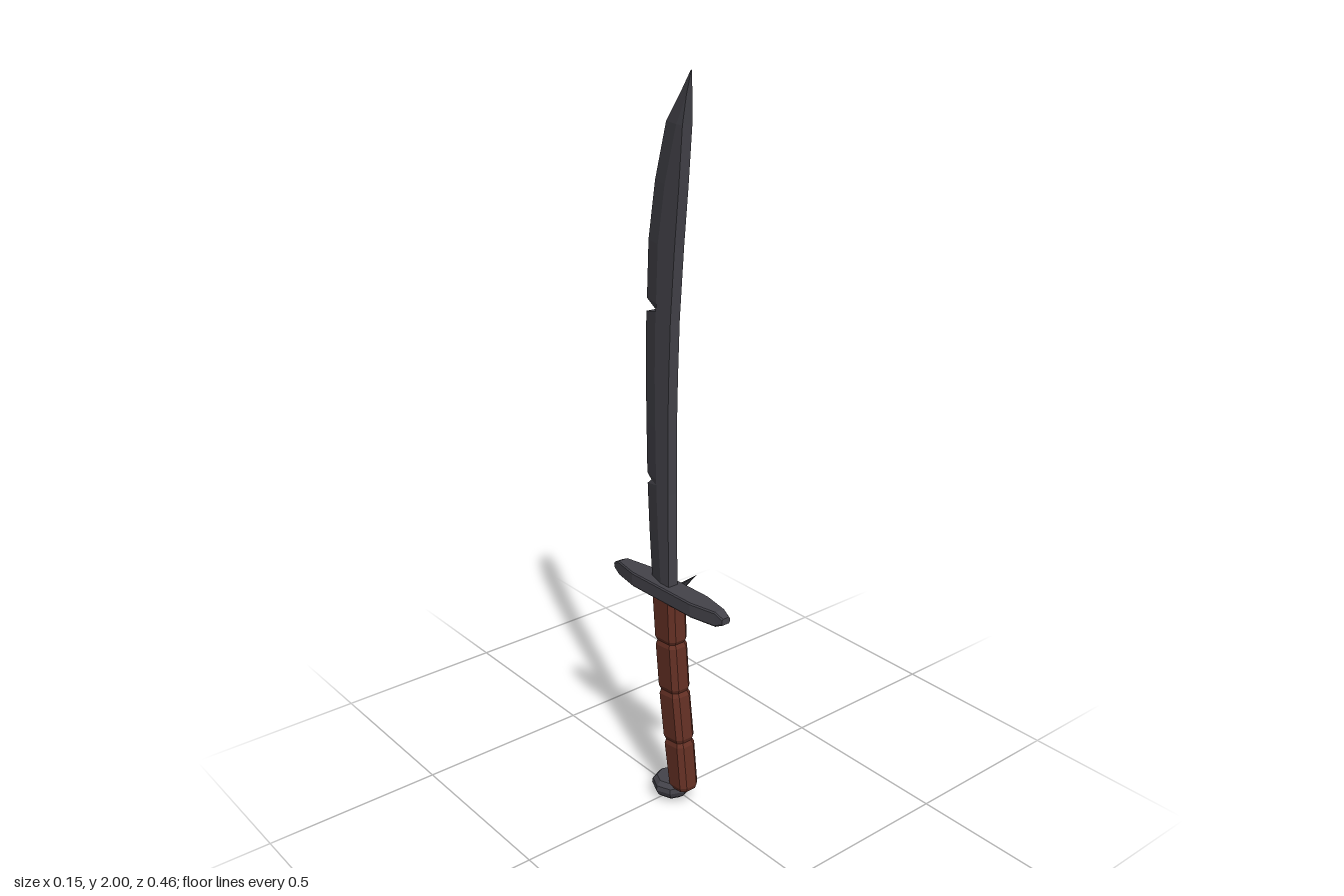
import * as THREE from 'three';

const CX = -0.02; // sword plane

// Skin between rings of equal length (counterclockwise seen from the end), with flat faces and caps.
function loft(rings) {
  const pos = [];
  const tri = (a, b, c) => pos.push(...a, ...b, ...c);
  const n = rings[0].length;
  for (let r = 0; r < rings.length - 1; r++) {
    const a = rings[r], b = rings[r + 1];
    for (let i = 0; i < n; i++) {
      const j = (i + 1) % n;
      tri(a[i], a[j], b[j]);
      tri(a[i], b[j], b[i]);
    }
  }
  const first = rings[0], last = rings[rings.length - 1];
  for (let i = 1; i < n - 1; i++) {
    tri(first[0], first[i + 1], first[i]);
    tri(last[0], last[i], last[i + 1]);
  }
  const g = new THREE.BufferGeometry();
  g.setAttribute('position', new THREE.Float32BufferAttribute(pos, 3));
  g.computeVertexNormals();
  return g;
}

// Rectangle with cut corners, counterclockwise
function cutRect(w, h, cw, ch) {
  return [[w, -h + ch], [w, h - ch], [w - cw, h], [-w + cw, h],
    [-w, h - ch], [-w, -h + ch], [-w + cw, -h], [w - cw, -h]];
}

function flat(geometry) {
  const g = geometry.toNonIndexed();
  g.computeVertexNormals();
  return g;
}

export function createModel() {
  const model = new THREE.Group();
  model.name = 'sword';
  const steel = new THREE.MeshStandardMaterial({ color: 0x44434a });
  steel.name = 'dark steel';
  const leather = new THREE.MeshStandardMaterial({ color: 0x643024 });
  leather.name = 'brown leather';
  const black = new THREE.MeshStandardMaterial({ color: 0x29292d });
  black.name = 'blackened steel';

  function add(name, geometry, material, parent = model) {
    const mesh = new THREE.Mesh(geometry, material);
    mesh.name = name;
    parent.add(mesh);
    return mesh;
  }

  // Blade: height, back z, edge z, depth of a nick in the edge
  const sections = [
    [0.62, 0.015, -0.072, 0], [0.8, 0.013, -0.085, 0], [0.925, 0.012, -0.091, 0],
    [0.94, 0.012, -0.091, 0.016], [0.955, 0.012, -0.092, 0], [1.1, 0.012, -0.094, 0],
    [1.24, 0.016, -0.095, 0], [1.395, 0.023, -0.091, 0], [1.408, 0.024, -0.09, 0.036],
    [1.43, 0.026, -0.088, 0], [1.58, 0.039, -0.08, 0], [1.73, 0.055, -0.053, 0],
    [1.875, 0.068, -0.01, 0], [1.945, 0.075, 0.042, 0], [2.0, 0.082, 0.08, 0],
  ];
  add('blade', loft(sections.map(([y, back, edge, nick]) => {
    const bevel = Math.min(back, edge + 0.055);
    const t = 0.015 * Math.min(1, (back - edge) / 0.055);
    return [[CX - t, y, back], [CX + t, y, back], [CX + t, y, bevel],
      [CX, y, edge + nick], [CX - t, y, bevel]];
  })), steel);

  // Crossguard: tapered bar along z
  const bar = [[-0.228, 0.013, 0.009], [-0.203, 0.017, 0.021], [-0.122, 0.032, 0.021],
    [0.122, 0.032, 0.021], [0.203, 0.017, 0.021], [0.228, 0.013, 0.009]];
  const guard = add('crossguard', loft(bar.map(([z, w, h]) =>
    cutRect(w, h, 0.003, 0.004).map(([x, y]) => [x, y, z]))), steel);
  guard.position.set(CX, 0.64, 0);
  guard.rotation.x = -0.022;

  // Spike on the left side of the guard
  const from = new THREE.Vector3(0.0, 0.635, 0), tip = new THREE.Vector3(0.077, 0.656, -0.003);
  const dir = tip.clone().sub(from);
  const spike = add('guardSpike', flat(new THREE.ConeGeometry(0.013, dir.length(), 6)), black);
  spike.position.copy(from).add(tip).multiplyScalar(0.5);
  spike.quaternion.setFromUnitVectors(new THREE.Vector3(0, 1, 0), dir.normalize());

  // Grip: four bevelled segments following a bent axis (y, z, half depth)
  const grip = new THREE.Group();
  grip.name = 'grip';
  model.add(grip);
  const axis = [[0.052, 0.061, 0.036], [0.2, 0.04, 0.04], [0.35, 0.02, 0.041],
    [0.496, 0.006, 0.042], [0.63, -0.003, 0.044]];
  for (let i = 0; i < 4; i++) {
    const [y0, z0, d0] = axis[i], [y1, z1, d1] = axis[i + 1];
    const len = Math.hypot(y1 - y0, z1 - z0);
    const ty = (y1 - y0) / len, tz = (z1 - z0) / len;
    const rings = [[0, 0.86], [0.08, 1], [0.92, 1], [1, 0.86]].map(([s, k]) => {
      const y = y0 + (y1 - y0) * s, z = z0 + (z1 - z0) * s, d = d0 + (d1 - d0) * s;
      return cutRect(0.031 * k, d * k, 0.014 * k, 0.013 * k)
        .map(([x, v]) => [CX + x, y + v * tz, z - v * ty]);
    });
    add('gripSegment' + (i + 1), loft(rings), leather, grip);
  }

  // Pommel: squashed eight-sided knob
  const profile = [[0, 0], [0.032, 0.005], [0.05, 0.02], [0.057, 0.036], [0.055, 0.05], [0.043, 0.062], [0, 0.062]]
    .map(([r, y]) => new THREE.Vector2(r, y));
  add('pommel', flat(new THREE.LatheGeometry(profile, 8)), steel).position.set(CX, 0, 0.01);

  return model;
}
